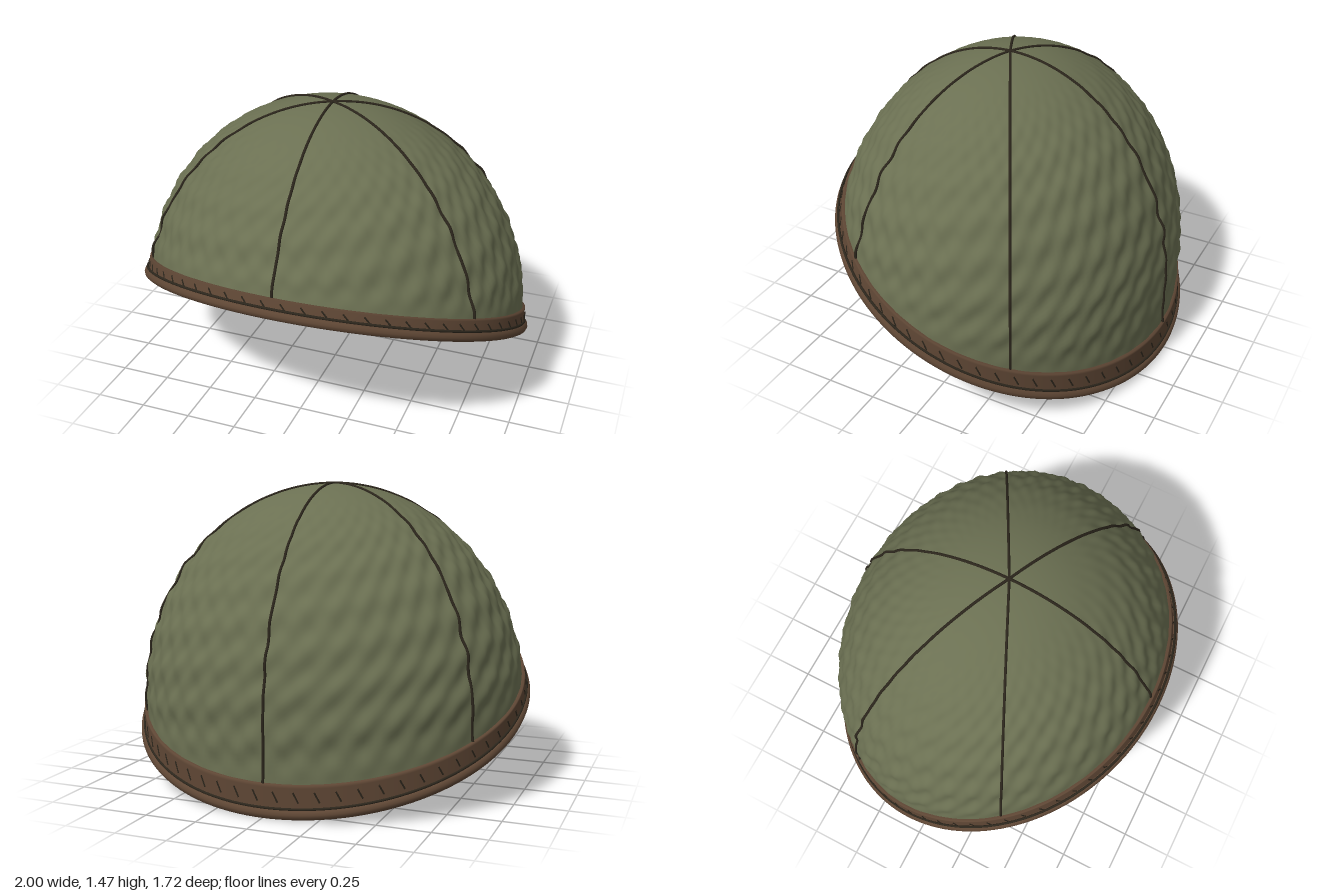
import * as THREE from 'three';
import { mergeGeometries } from 'three/addons/utils/BufferGeometryUtils.js';

const APEX_Y = 1.455, APEX_Z = 0.03, EQUATOR = 0.387, H = APEX_Y - EQUATOR;
const RX = 0.966, RZ = 0.828, SLOPE = 0.436;
const TAU = Math.PI * 2;

// Height of the tilted rim, and the polar angle where the shell reaches height y
const rimY = a => EQUATOR + SLOPE * RZ * Math.cos(a);
const polar = y => Math.acos((y - EQUATOR) / H);
const bandTop = a => polar(rimY(a) + 0.1 - 0.03 * Math.cos(a));
const rimPolar = a => polar(rimY(a));

// Point on the shell: a turns from front to left, th runs from crown to rim
function shell(a, th, offset = 0) {
  const s = Math.sin(Math.min(th, Math.PI / 2));
  const k = s / Math.sin(Math.min(rimPolar(a), Math.PI / 2));
  return new THREE.Vector3(
    RX * Math.sin(a) * k + offset * s * Math.sin(a),
    EQUATOR + H * Math.cos(th) + offset * Math.max(0, Math.cos(th)),
    APEX_Z + (RZ * Math.cos(a) - APEX_Z) * k + offset * s * Math.cos(a)
  );
}

// Soft quilted ripple of the cloth, fading at the crown
function ripple(a, th) {
  const fade = THREE.MathUtils.smoothstep(th, 0.25, 1.1);
  return 0.008 * fade * Math.sin(a * 42 + Math.sin(th * 9)) * Math.sin(th * 38 + Math.sin(a * 5))
    + 0.004 * fade * Math.sin(th * 36 + a * 6);
}

// Closed-around surface from point(a, t)
function wrap(point, na, nt, inward = false) {
  const pos = [], index = [];
  for (let i = 0; i < na; i++)
    for (let j = 0; j <= nt; j++) pos.push(...point(i / na * TAU, j / nt).toArray());
  const id = (i, j) => (i % na) * (nt + 1) + j;
  for (let i = 0; i < na; i++)
    for (let j = 0; j < nt; j++) {
      const p = id(i, j), q = id(i, j + 1), r = id(i + 1, j), s = id(i + 1, j + 1);
      if (inward) index.push(p, r, q, r, s, q);
      else index.push(p, q, r, r, q, s);
    }
  const g = new THREE.BufferGeometry();
  g.setAttribute('position', new THREE.Float32BufferAttribute(pos, 3));
  g.setIndex(index);
  g.computeVertexNormals();
  return g;
}

// Tube running round the tilted rim
function rimTube(rx, rz, radius, lift) {
  const pts = [];
  for (let i = 0; i < 96; i++) {
    const a = i / 96 * TAU;
    pts.push(new THREE.Vector3(rx * Math.sin(a), EQUATOR + lift + SLOPE * rz * Math.cos(a), rz * Math.cos(a)));
  }
  return new THREE.TubeGeometry(new THREE.CatmullRomCurve3(pts, true), 160, radius, 10, true);
}

export function createModel() {
  const group = new THREE.Group();
  const cloth = new THREE.MeshStandardMaterial({ color: 0x6b7052 });
  const lining = new THREE.MeshStandardMaterial({ color: 0x38322e });
  const leather = new THREE.MeshStandardMaterial({ color: 0x5e4634 });
  const thread = new THREE.MeshStandardMaterial({ color: 0x2c261c });
  const add = (name, geometry, material) => {
    const m = new THREE.Mesh(geometry, material);
    m.name = name;
    group.add(m);
  };

  // Cloth shell and lining
  add('clothShell', wrap((a, t) => {
    const th = rimPolar(a) * t;
    return shell(a, th, ripple(a, th) * THREE.MathUtils.smoothstep(1 - t, 0.03, 0.15));
  }, 240, 100), cloth);
  add('innerLining', wrap((a, t) => shell(a, rimPolar(a) * t, -0.016), 96, 32, true), lining);

  // Leather band: closed top edge, then an outer face
  add('brimBand', wrap((a, t) => {
    const top = bandTop(a), u = Math.max(0, (t - 0.1) / 0.9);
    return shell(a, top + (rimPolar(a) - top) * u, t === 0 ? -0.004 : 0.014);
  }, 160, 10), leather);

  // Rolled edge and the groove above it
  add('rolledEdge', rimTube(0.976, 0.838, 0.024, 0), leather);
  add('edgeGroove', rimTube(0.982, 0.844, 0.006, 0.028), thread);

  // Six panel seams from crown to band
  const seams = [];
  for (let k = 0; k < 6; k++) {
    const a = k * TAU / 6, pts = [];
    for (let j = 0; j <= 40; j++) {
      const th = bandTop(a) * j / 40;
      pts.push(shell(a, th, ripple(a, th) + 0.002));
    }
    seams.push(new THREE.TubeGeometry(new THREE.CatmullRomCurve3(pts), 80, 0.007, 6));
  }
  add('panelSeams', mergeGeometries(seams), thread);

  // Slanted stitches round the band
  const stitches = [];
  for (let k = 0; k < 64; k++) {
    const a = (k + 0.5) / 64 * TAU, b = a + 0.025;
    const at = (ang, f) => shell(ang, THREE.MathUtils.lerp(bandTop(ang), rimPolar(ang), f), 0.0145);
    stitches.push(new THREE.TubeGeometry(new THREE.LineCurve3(at(a, 0.25), at(b, 0.62)), 1, 0.004, 5));
  }
  add('bandStitches', mergeGeometries(stitches), thread);

  return group;
}
